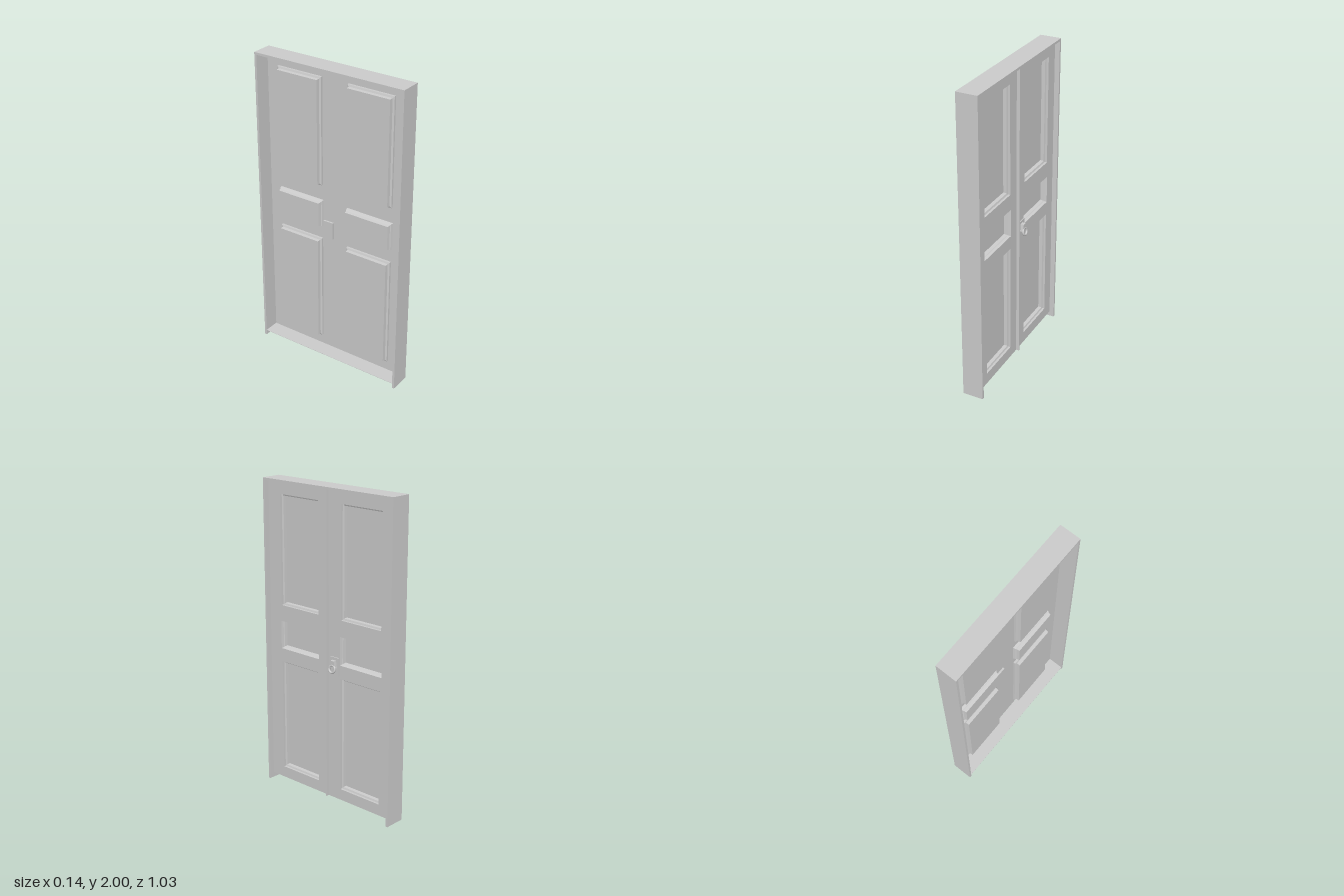
import * as THREE from 'three';

const grey = new THREE.MeshStandardMaterial({ color: 0xcccccc, flatShading: true, side: THREE.DoubleSide });
const smooth = new THREE.MeshStandardMaterial({ color: 0xcccccc });

// Local frame: u = across the door, y = up, w = out of the face.
const HALF = 0.515, T = 0.015, BACK = -0.074, FRONT = 0.062, SHEET = 0.03, BOTTOM = 0.033;

function add(parent, name, geometry, material = grey) {
  const mesh = new THREE.Mesh(geometry, material);
  mesh.name = name;
  parent.add(mesh);
  return mesh;
}

function box(parent, name, u0, u1, y0, y1, w0, w1) {
  const mesh = add(parent, name, new THREE.BoxGeometry(u1 - u0, y1 - y0, w1 - w0));
  mesh.position.set((u0 + u1) / 2, (y0 + y1) / 2, (w0 + w1) / 2);
  return mesh;
}

// Rectangle corners, counter-clockwise, shrunk by inset
function corners([u0, u1, y0, y1], inset = 0) {
  return [[u0 + inset, y0 + inset], [u1 - inset, y0 + inset], [u1 - inset, y1 - inset], [u0 + inset, y1 - inset]];
}

// Stepped pocket: rectangles joined ring by ring, closed by a flat floor
function pocketGeometry(rect, steps) {
  const pos = [], index = [];
  for (const [inset, w] of steps) for (const [u, y] of corners(rect, inset)) pos.push(u, y, w);
  for (let s = 0; s < steps.length - 1; s++) {
    for (let i = 0; i < 4; i++) {
      const a = s * 4 + i, b = s * 4 + (i + 1) % 4;
      index.push(a, b, b + 4, a, b + 4, a + 4);
    }
  }
  const f = (steps.length - 1) * 4;
  index.push(f, f + 1, f + 2, f, f + 2, f + 3);
  const g = new THREE.BufferGeometry();
  g.setAttribute('position', new THREE.Float32BufferAttribute(pos, 3));
  g.setIndex(index);
  const flat = g.toNonIndexed();
  flat.computeVertexNormals();
  return flat;
}

export function createModel() {
  const model = new THREE.Group();
  model.name = 'panelledDoor';
  const door = new THREE.Group();
  door.name = 'door';
  door.rotation.y = Math.PI / 2;
  model.add(door);

  // Frame: two jambs reaching the ground and a head
  for (const s of [-1, 1]) {
    const a = s * HALF, b = s * (HALF - T);
    box(door, 'frameJamb', Math.min(a, b), Math.max(a, b), 0, 2, BACK, FRONT);
  }
  box(door, 'frameHead', -HALF + T, HALF - T, 2 - T, 2, BACK, FRONT);

  // Bottom ledge behind the face
  const inner = HALF - T;
  box(door, 'bottomLedge', -inner, inner, BOTTOM, BOTTOM + 0.002, BACK, SHEET - 0.001);

  // Panels: three rows on each leaf
  const deep = [[0, SHEET], [0, 0.016], [0.011, 0.012], [0.013, -0.01]];
  const bevelled = [[0, SHEET], [0.004, 0.014], [0.008, 0.01], [0.012, -0.01]];
  const rows = [
    { y: [0.106, 0.838], grow: 0, steps: deep },
    { y: [0.925, 1.106], grow: 0.006, steps: bevelled },
    { y: [1.21, 1.908], grow: 0, steps: deep },
  ];
  const panels = [];
  for (const [u0, u1] of [[-0.4, -0.084], [0.101, 0.416]]) {
    for (const { y, grow, steps } of rows) panels.push({ rect: [u0 - grow, u1 + grow, ...y], steps });
  }

  // Face sheet with an opening for every panel
  const toVectors = (r) => corners(r).map(([u, y]) => new THREE.Vector2(u, y));
  const face = new THREE.Shape(toVectors([-inner, inner, BOTTOM, 2 - T]));
  for (const p of panels) {
    face.holes.push(new THREE.Path(toVectors(p.rect).reverse()));
    add(door, 'recessedPanel', pocketGeometry(p.rect, p.steps));
  }
  add(door, 'doorFace', new THREE.ShapeGeometry(face)).position.z = SHEET;

  // Thin strip where the two leaves meet
  box(door, 'meetingStrip', -0.003, 0.003, BOTTOM, 2 - T, SHEET, 0.05);

  // Knocker: plate, hinge boss and a ring hanging slightly outwards
  const knocker = new THREE.Group();
  knocker.name = 'knocker';
  knocker.position.x = 0.055;
  door.add(knocker);
  box(knocker, 'plate', -0.035, 0.035, 0.856, 0.97, 0.018, 0.037);

  const trapezoid = new THREE.Shape([[-0.022, 0.905], [0.022, 0.905], [0.014, 0.952], [-0.014, 0.952]]
    .map(([x, y]) => new THREE.Vector2(x, y)));
  const boss = add(knocker, 'hingeBoss', new THREE.ExtrudeGeometry(trapezoid, { depth: 0.022, bevelEnabled: false }));
  boss.position.z = 0.036;

  const ring = add(knocker, 'ring', new THREE.TorusGeometry(0.023, 0.007, 10, 28), smooth);
  ring.position.set(0, 0.9, 0.058);
  ring.rotation.x = -0.2;

  return model;
}
